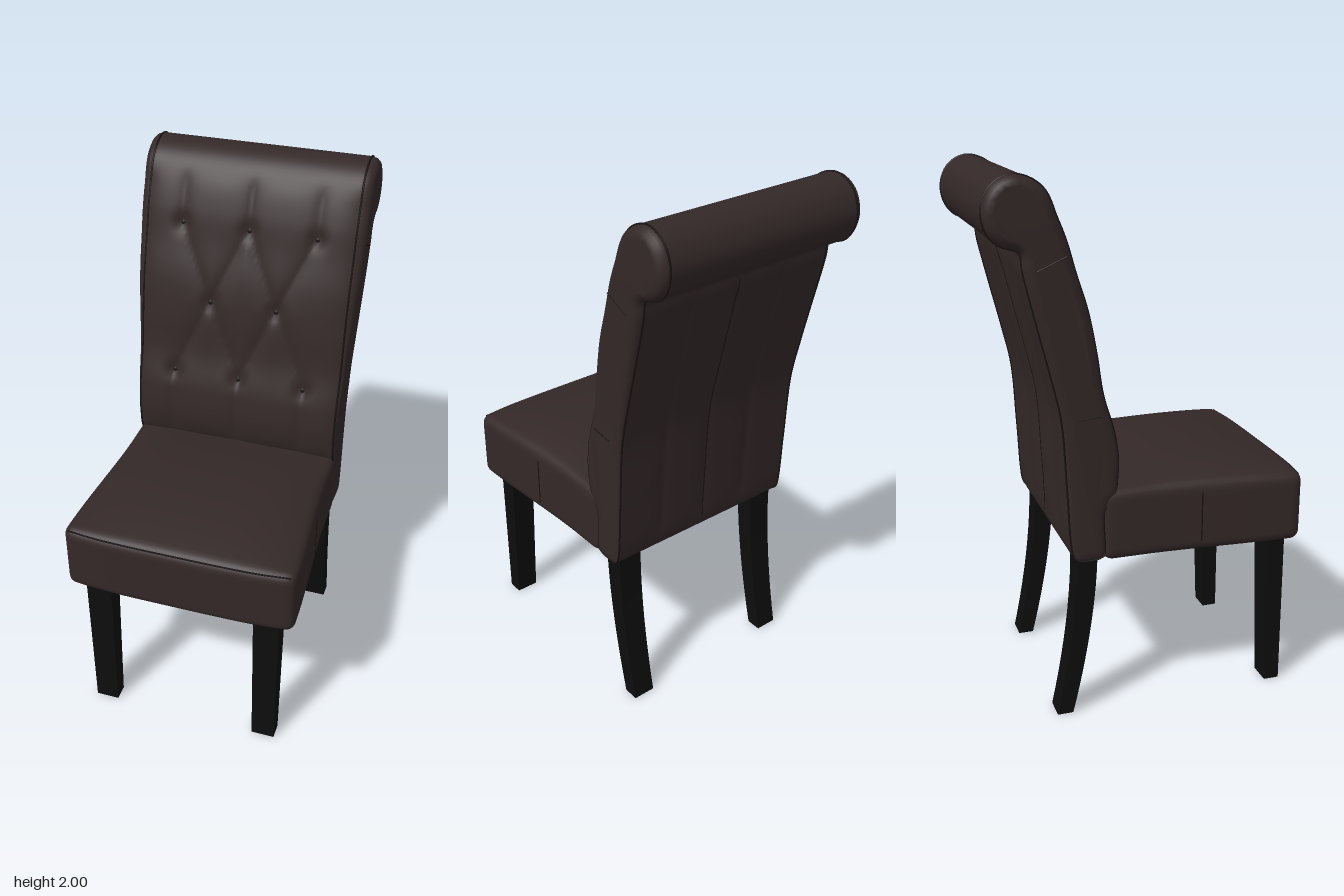
import * as THREE from 'three';
import { mergeVertices } from 'three/addons/utils/BufferGeometryUtils.js';

const upholstery = new THREE.MeshStandardMaterial({ color: 0x342828 });
const seam = new THREE.MeshStandardMaterial({ color: 0x191313 });
const legWood = new THREE.MeshStandardMaterial({ color: 0x0d0d0d });
const underside = new THREE.MeshStandardMaterial({ color: 0x332a1a });
upholstery.name = 'dark brown upholstery';
seam.name = 'dark seam';
legWood.name = 'black wood';
underside.name = 'olive lining';

const V = (x, y, z) => new THREE.Vector3(x, y, z);
const smooth = THREE.MathUtils.smoothstep;

function add(group, name, geometry, material) {
  const mesh = new THREE.Mesh(geometry, material);
  mesh.name = name;
  group.add(mesh);
  return mesh;
}

function piping(group, name, points, radius = 0.004, closed = false) {
  const curve = new THREE.CatmullRomCurve3(points, closed);
  return add(group, name, new THREE.TubeGeometry(curve, closed ? 160 : 24, radius, 5, closed), seam);
}

// Subdivided box whose vertices are moved by a rule, with smooth normals
function shapedBox(size, segments, rule) {
  let geo = new THREE.BoxGeometry(...size, ...segments);
  const pos = geo.attributes.position;
  const p = new THREE.Vector3();
  for (let i = 0; i < pos.count; i++) {
    p.fromBufferAttribute(pos, i);
    rule(p);
    pos.setXYZ(i, p.x, p.y, p.z);
  }
  return geo;
}

// Buttons and the creases joining them on the tufted back
const buttons = [[-0.26, 1.74], [0, 1.74], [0.26, 1.74], [-0.13, 1.46], [0.13, 1.46],
  [-0.26, 1.17], [0, 1.17], [0.26, 1.17]];
const creases = [];
for (const x of [-0.13, 0.13]) for (const dx of [-0.13, 0.13]) for (const y of [1.74, 1.17]) {
  creases.push([x, 1.46, x + dx, y]);
}
for (const x of [-0.26, 0, 0.26]) creases.push([x, 1.17, x, 0.88], [x, 1.74, x, 1.9]);

function tuftDepth(x, y) {
  let depth = 0;
  for (const [ax, ay, bx, by] of creases) {
    const dx = bx - ax, dy = by - ay;
    const t = THREE.MathUtils.clamp(((x - ax) * dx + (y - ay) * dy) / (dx * dx + dy * dy), 0, 1);
    const d = Math.hypot(x - ax - t * dx, y - ay - t * dy);
    depth = Math.max(depth, 0.014 * Math.exp(-d / 0.035));
  }
  for (const [bx, by] of buttons) {
    depth += 0.014 * Math.exp(-(((x - bx) ** 2 + (y - by) ** 2) / 0.0009));
  }
  return depth;
}

// Side profile of the scrolled back as [z, y], up the front and down the rear
const profile = [[-0.19, 0.64], [-0.185, 0.82], [-0.14, 0.89], [-0.118, 0.97], [-0.13, 1.1],
  [-0.172, 1.25], [-0.195, 1.4], [-0.225, 1.55], [-0.265, 1.68], [-0.3, 1.8], [-0.345, 1.9],
  [-0.41, 1.975], [-0.49, 2.0], [-0.56, 1.965], [-0.592, 1.885], [-0.57, 1.805], [-0.525, 1.768],
  [-0.472, 1.752], [-0.462, 1.69], [-0.417, 1.5], [-0.375, 1.33], [-0.34, 1.17], [-0.322, 0.9],
  [-0.308, 0.68], [-0.295, 0.637], [-0.21, 0.632]];
const RING = 180;
const ring = new THREE.CatmullRomCurve3(profile.map(([z, y]) => V(0, y, z)), true, 'centripetal')
  .getSpacedPoints(RING).slice(0, RING);

// Point on the back: x across the panel, t out over the ear, inset toward the profile's middle
function backPoint(j, x, t = 0, inset = 0) {
  const p = ring[j];
  const q = ring[(j + 1) % RING].clone().sub(ring[(j + RING - 1) % RING]).normalize();
  const ny = -q.z, nz = q.y;
  const front = smooth(nz, 0.2, 0.7) * smooth(p.y, 0.86, 0.96) * (1 - smooth(p.y, 1.86, 1.96));
  const rear = smooth(-nz, 0.6, 0.9) * smooth(p.y, 0.66, 0.75) * (1 - smooth(p.y, 1.62, 1.74));
  const edge = Math.abs(x) / 0.4;
  let d = inset + front * (tuftDepth(x, p.y) * (1 - edge ** 8) + 0.018 * edge ** 8);
  for (const c of [-0.2, 0, 0.2]) d += rear * 0.007 * Math.exp(-Math.abs(x - c) / 0.03);
  const ear = 0.41 + 0.025 * smooth(p.y, 0.9, 1.85) - 0.4;
  return V(x + Math.sign(x) * t * ear, p.y - ny * d, p.z - nz * d);
}

function backGeometry() {
  const ears = [[1, 0.032], [0.85, 0.016], [0.5, 0.005]];
  const columns = ears.map(([t, d]) => [-0.4, t, d]);
  for (let i = 0; i <= 64; i++) columns.push([-0.4 + i * 0.0125, 0, 0]);
  columns.push(...ears.map(([t, d]) => [0.4, t, d]).reverse());
  const points = [], index = [];
  columns.forEach(([x, t, d], i) => {
    for (let j = 0; j < RING; j++) {
      points.push(backPoint(j, x, t, d));
      if (i === 0) continue;
      const k = (j + 1) % RING, a = (i - 1) * RING, b = i * RING;
      index.push(a + j, b + j, b + k, a + j, b + k, a + k);
    }
  });
  // Close both ears
  const last = (columns.length - 1) * RING;
  const outline = points.slice(0, RING).map((p) => new THREE.Vector2(p.z, p.y));
  for (const [a, b, c] of THREE.ShapeUtils.triangulateShape(outline, [])) {
    index.push(a, b, c, last + a, last + c, last + b);
  }
  const geo = new THREE.BufferGeometry().setFromPoints(points);
  geo.setIndex(index);
  geo.computeVertexNormals();
  return geo;
}

// Seat cushion: rounded, crowned and slightly wider at the front
const seatHalfWidth = (z) => 0.41 + 0.03 * smooth(z, -0.05, 0.57);
function seatGeometry() {
  const half = [0.5, 0.1325, 0.39], r = 0.035;
  const geo = shapedBox([1, 0.265, 0.78], [60, 24, 50], (p) => {
    const inner = V(...['x', 'y', 'z'].map((k, i) =>
      THREE.MathUtils.clamp(p[k], -(half[i] - r), half[i] - r)));
    p.sub(inner).normalize().multiplyScalar(r).add(inner);
    const u = p.x / 0.5, v = p.z / 0.39;
    if (p.y > 0) p.y += 0.046 * (1 - u ** 4) * (1 - v * v) * smooth(p.y, 0.06, 0.13);
    p.y += 0.7525;
    p.z += 0.2 - (v > 0 ? 0.02 * u ** 4 * v : 0);
    p.x = u * seatHalfWidth(p.z);
  });
  geo.deleteAttribute('uv');
  geo.deleteAttribute('normal');
  const welded = mergeVertices(geo, 1e-5);
  welded.computeVertexNormals();
  return welded;
}

// Square leg; section(s) gives [centre z, half depth, half width], s from 0 at floor to 1 at top
function legGeometry(section) {
  const geo = shapedBox([2, 1, 2], [1, 10, 1], (p) => {
    const s = p.y + 0.5;
    const [z, depth, width] = section(s);
    p.set(p.x * width, s * 0.645, z + p.z * depth);
  });
  geo.computeVertexNormals();
  return geo;
}

export function createModel() {
  const chair = new THREE.Group();
  chair.name = 'diningChair';

  add(chair, 'seat', seatGeometry(), upholstery);
  add(chair, 'backrest', backGeometry(), upholstery);

  // Lining under the seat
  add(chair, 'seatLining', new THREE.BoxGeometry(0.7, 0.006, 0.66), underside).position.set(0, 0.619, 0.19);

  // Buttons sunk into the tufts
  for (const [x, y] of buttons) {
    let best = 0;
    for (let j = 0; j < RING / 2; j++) {
      if (ring[j].z > -0.4 && Math.abs(ring[j].y - y) < Math.abs(ring[best].y - y)) best = j;
    }
    const button = add(chair, 'button', new THREE.SphereGeometry(0.011, 12, 8), seam);
    button.position.copy(backPoint(best, x));
    button.scale.z = 0.6;
  }

  // Seams on the front of the seat and down the rear of the back
  const across = [-0.42, -0.3, -0.15, 0, 0.15, 0.3, 0.42];
  piping(chair, 'seatFrontSeam', across.map((x) => V(x, 0.876, 0.579 - 0.02 * (x / 0.44) ** 4)));
  const rear = [];
  for (let j = 0; j < RING; j++) {
    if (j > RING / 2 && ring[j].y < 1.72 && ring[j].y > 0.67 && ring[j].z < -0.3) rear.push(backPoint(j, 0));
  }
  piping(chair, 'rearSeam', rear, 0.003);

  for (const side of [-1, 1]) {
    // Welt around each ear and the short seams on its side
    const welt = [];
    for (let j = 0; j < RING; j += 2) welt.push(backPoint(j, side * 0.4));
    piping(chair, 'earWelt', welt, 0.004, true);
    piping(chair, 'earSeam', [V(side * 0.417, 1.175, -0.2), V(side * 0.417, 1.165, -0.29)], 0.003);
    piping(chair, 'earSeam', [V(side * 0.434, 1.735, -0.32), V(side * 0.433, 1.69, -0.42)], 0.003);
    const sx = side * seatHalfWidth(0.18);
    piping(chair, 'seatSideSeam', [V(sx, 0.66, 0.18), V(sx, 0.85, 0.18)], 0.003);

    // Straight tapered front legs and swept rear legs
    const frontLeg = add(chair, 'frontLeg',
      legGeometry((s) => [0.51 - 0.015 * s, 0.03 + 0.01 * s, 0.045 + 0.005 * s]), legWood);
    const rearLeg = add(chair, 'rearLeg',
      legGeometry((s) => [-0.245 - 0.09 * (1 - s) ** 1.7, 0.03 + 0.008 * s, 0.044 + 0.005 * s]), legWood);
    frontLeg.position.x = rearLeg.position.x = side * 0.329;
  }
  return chair;
}
